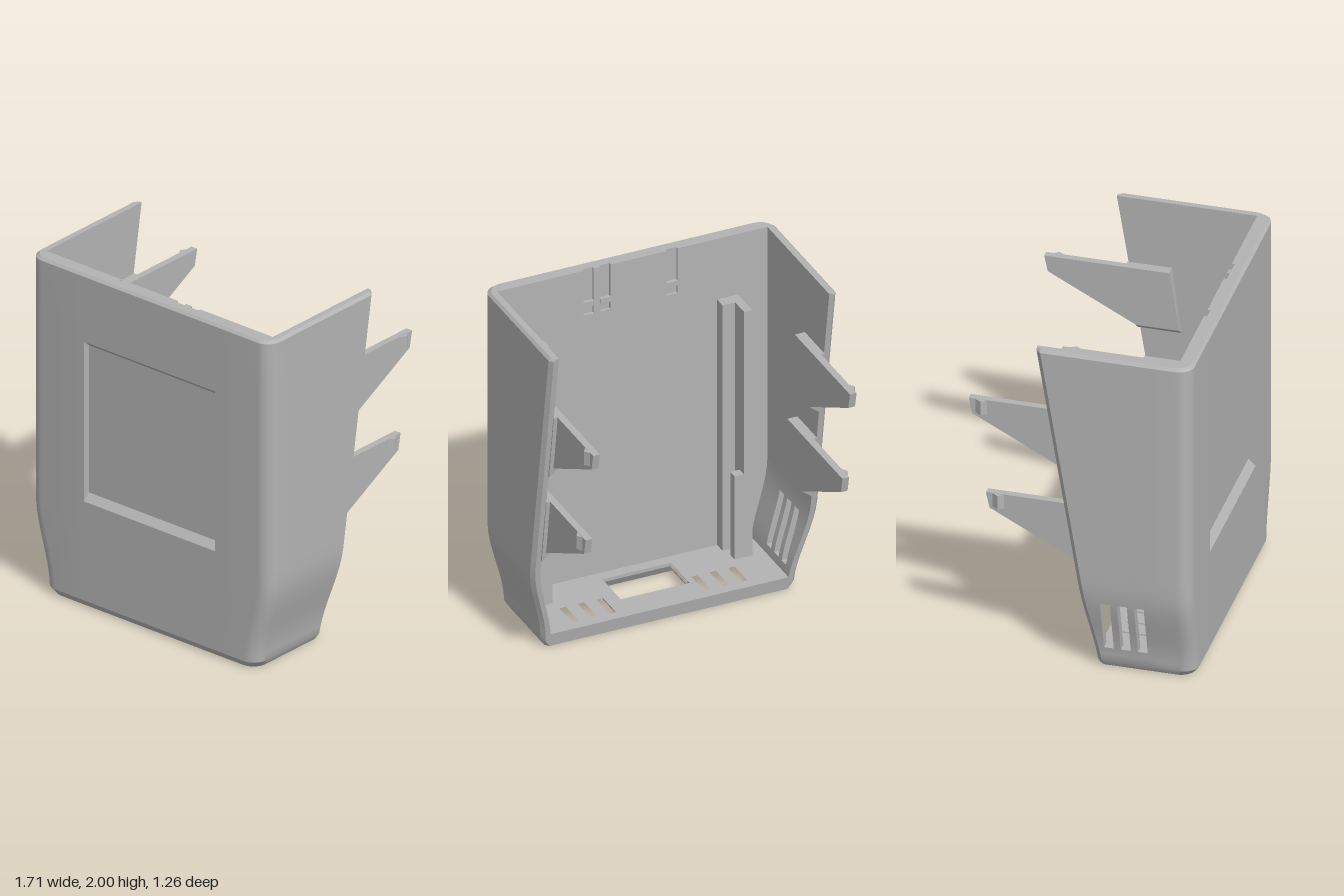
import * as THREE from 'three';
import { toCreasedNormals } from 'three/addons/utils/BufferGeometryUtils.js';

const plastic = new THREE.MeshStandardMaterial({ color: 0xb3b3b3 });
plastic.name = 'grey plastic';

const WALL = 0.05, INNER_FRONT = 0.545, FLOOR = 0.08;
const backZ = (y) => 0.085 - 0.1625 * y;
const baseWidth = (y) => 0.755 + 0.1 * THREE.MathUtils.smoothstep(y, 0.02, 0.56);
// inset of the chamfers along the bottom and top edges
const inset = (y) => 0.025 * Math.max(0, 1 - y / 0.04) + 0.015 * Math.max(0, (y - 1.985) / 0.015);
// depth of the sunken front panel, with sloping top and bottom
const panelDepth = (y) => 0.04 * THREE.MathUtils.clamp(Math.min((y - 0.635) / 0.04, (1.595 - y) / 0.035), 0, 1);

function mesh(name, geometry) {
  const m = new THREE.Mesh(geometry, plastic);
  m.name = name;
  return m;
}

function box(name, x0, x1, y0, y1, z0, z1) {
  const m = mesh(name, new THREE.BoxGeometry(x1 - x0, y1 - y0, z1 - z0));
  m.position.set((x0 + x1) / 2, (y0 + y1) / 2, (z0 + z1) / 2);
  return m;
}

// collects quads, leaving out triangles without area
function quadBuilder() {
  const pos = [];
  const tri = (...p) => {
    const [a, b, c] = p.map((v) => new THREE.Vector3(...v));
    if (b.clone().sub(a).cross(c.clone().sub(a)).length() > 1e-9) pos.push(...p.flat());
  };
  return {
    quad(a, b, c, d) { tri(a, b, c); tri(a, c, d); },
    build(angle) {
      const g = new THREE.BufferGeometry();
      g.setAttribute('position', new THREE.Float32BufferAttribute(pos, 3));
      g.computeVertexNormals();
      return toCreasedNormals(g, angle);
    },
  };
}

// columns of the U-shaped wall, from the left back edge round the front to the right one
function wallColumns() {
  const side = (s) => {
    const cols = [
      { o: (y) => [s * (baseWidth(y) - inset(y) - 0.02), backZ(y)], i: (y) => [s * (baseWidth(y) - WALL), backZ(y)] },
      { o: (y) => [s * (baseWidth(y) - inset(y)), backZ(y) + 0.025], i: (y) => [s * (baseWidth(y) - WALL), backZ(y) + 0.025] },
    ];
    for (const z of [0.12, 0.175, 0.215, 0.27, 0.31, 0.365])
      cols.push({ z, o: (y) => [s * (baseWidth(y) - inset(y)), z], i: (y) => [s * (baseWidth(y) - WALL), z] });
    const r = 0.085;
    for (let k = 0; k <= 8; k++) {
      const a = (k / 8) * Math.PI / 2;
      cols.push({
        o: (y) => [s * (baseWidth(y) - inset(y) - r + r * Math.cos(a)), 0.63 - inset(y) - r + r * Math.sin(a)],
        i: (y) => [s * (baseWidth(y) - WALL), INNER_FRONT],
      });
    }
    return cols;
  };
  const front = (x, panel, groove) => ({
    o: (y) => [x, 0.63 - inset(y) - (panel ? panelDepth(y) : 0)],
    i: (y) => [x, INNER_FRONT + (groove && y > 1.72 ? 0.017 : 0)],
  });
  const middle = [front(0.465, false), front(0.465, true)];
  for (const [a, b] of [[0.29, 0.23], [0.19, 0.13], [-0.205, -0.27]])
    middle.push(front(a, true), front(a, true, true), front(b, true, true), front(b, true));
  middle.push(front(-0.465, true), front(-0.465, false));
  return [...side(1), ...middle, ...side(-1).reverse()];
}

// curved wall with vents, front panel and grooves
function shellGeometry(cols) {
  const rows = [0, 0.04, 0.085, 0.13, 0.17, 0.21, 0.25, 0.29, 0.33, 0.37, 0.41, 0.45, 0.5, 0.56,
    0.635, 0.675, 1.56, 1.595, 1.72, 1.7201, 1.985, 2];
  const O = (i, j) => { const [x, z] = cols[j].o(rows[i]); return [x, rows[i], z]; };
  const I = (i, j) => { const [x, z] = cols[j].i(rows[i]); return [x, rows[i], z]; };
  const ventEnds = [0.175, 0.27, 0.365];
  const solid = (i, j) => {
    if (i < 0 || j < 0 || i >= rows.length - 1 || j >= cols.length - 1) return false;
    const vent = j > cols.length / 2 && ventEnds.includes(cols[j].z) && rows[i] >= 0.13 && rows[i] < 0.45;
    return !vent;
  };
  const q = quadBuilder();
  for (let i = 0; i < rows.length - 1; i++) {
    for (let j = 0; j < cols.length - 1; j++) {
      if (!solid(i, j)) continue;
      const n = i + 1, k = j + 1;
      q.quad(O(i, j), O(n, j), O(n, k), O(i, k));
      q.quad(I(i, k), I(n, k), I(n, j), I(i, j));
      if (!solid(i, j - 1)) q.quad(O(i, j), I(i, j), I(n, j), O(n, j));
      if (!solid(i, k)) q.quad(I(i, k), O(i, k), O(n, k), I(n, k));
      if (!solid(n, j)) q.quad(O(n, j), I(n, j), I(n, k), O(n, k));
      if (i > 0 && !solid(i - 1, j)) q.quad(O(i, k), I(i, k), I(i, j), O(i, j));
    }
  }
  return q.build(0.5);
}

// floor slab between two heights, with vents and a window that grows by some margin
function floorLayer(cols, y0, y1, grow) {
  const outline = cols.map((c) => c.o(0)).filter((p, n, all) =>
    n === 0 || Math.hypot(p[0] - all[n - 1][0], p[1] - all[n - 1][1]) > 1e-5);
  const shape = new THREE.Shape(outline.map(([x, z]) => new THREE.Vector2(x, -z)));
  const hole = (x0, x1, z0, z1) => shape.holes.push(new THREE.Path(
    [[x0, -z0], [x1, -z0], [x1, -z1], [x0, -z1]].map((p) => new THREE.Vector2(...p))));
  for (const x of [-0.515, -0.405, -0.295, 0.27, 0.38, 0.49]) hole(x, x + 0.06, 0.135, 0.345);
  hole(-0.2 - grow, 0.21 + grow, 0.245 - grow, 0.495 + grow);
  const g = new THREE.ExtrudeGeometry(shape, { depth: y1 - y0, bevelEnabled: false });
  g.rotateX(-Math.PI / 2).translate(0, y0, 0);
  const p = g.attributes.position;
  for (let n = 0; n < p.count; n++)
    if (p.getZ(n) < 0.1) p.setZ(n, p.getZ(n) - 0.1625 * p.getY(n));
  g.computeVertexNormals();
  return g;
}

// sloping frame below the floor window
function windowBevel() {
  const ring = (e, y) => [[-0.2 - e, y, 0.245 - e], [0.21 + e, y, 0.245 - e], [0.21 + e, y, 0.495 + e], [-0.2 - e, y, 0.495 + e]];
  const low = ring(0.03, 0), high = ring(0, 0.05), q = quadBuilder();
  for (let n = 0; n < 4; n++) {
    const m = (n + 1) % 4;
    q.quad(low[n], low[m], high[m], high[n]);
  }
  return q.build(0.1);
}

// side profile given as [z, y], extruded from x0 to x1
function sidePlate(points, x0, x1) {
  const shape = new THREE.Shape(points.map(([z, y]) => new THREE.Vector2(-z, y)));
  return new THREE.ExtrudeGeometry(shape, { depth: x1 - x0, bevelEnabled: false })
    .rotateY(Math.PI / 2).translate(x0, 0, 0);
}

// snap arm with its root on the wall and a catch near the tip
function snapArm() {
  const g = new THREE.Group();
  g.name = 'snapArm';
  g.add(mesh('armPlate', sidePlate([[-0.63, 1.595], [-0.61, 1.5], [-0.115, 1.24], [-0.17, 1.595]], 0.745, 0.785)));
  const root = sidePlate([[-0.18, 1.595], [-0.12, 1.24], [0.125, 1.24], [0.07, 1.595]], 0.745, 0.808);
  const p = root.attributes.position;
  for (let n = 0; n < p.count; n++)
    if (p.getX(n) > 0.8 && p.getY(n) < 1.3) p.setY(n, 1.19);
  root.computeVertexNormals();
  g.add(mesh('armRoot', root));
  const wedge = new THREE.Shape([[0.78, 0.60], [0.78, 0.52], [0.807, 0.56]].map((v) => new THREE.Vector2(...v)));
  const bump = new THREE.ExtrudeGeometry(wedge, { depth: 0.085, bevelEnabled: false });
  g.add(mesh('armCatch', bump.rotateX(-Math.PI / 2).translate(0, 1.508, 0)));
  return g;
}

export function createModel() {
  const model = new THREE.Group();
  model.name = 'housing';
  const cols = wallColumns();
  model.add(mesh('shell', shellGeometry(cols)));
  model.add(mesh('floorLower', floorLayer(cols, 0, 0.05, 0.03)));
  model.add(mesh('floorUpper', floorLayer(cols, 0.05, FLOOR, 0)));
  model.add(mesh('floorWindowBevel', windowBevel()));

  // two snap arms on each side
  for (const s of [1, -1]) {
    const arms = new THREE.Group();
    arms.name = s > 0 ? 'leftArms' : 'rightArms';
    const upper = snapArm(), lower = snapArm();
    lower.position.set(0, -0.58, 0.095);
    arms.add(upper, lower);
    arms.scale.x = s;
    model.add(arms);
  }

  // board rails inside the front wall
  model.add(box('leftRail', 0.525, 0.65, 0.07, 1.62, 0.475, 0.55));
  model.add(box('leftPost', 0.56, 0.65, 0.07, 0.6, 0.365, 0.42));
  model.add(box('rightRail', -0.58, -0.505, 0.07, 1.62, 0.475, 0.55));
  model.add(box('rightRailFlange', -0.63, -0.58, 0.07, 1.62, 0.365, 0.55));
  model.add(box('rightPost', -0.58, -0.525, 0.07, 0.6, 0.365, 0.42));

  // small stops in the top grooves
  for (const x of [0.26, 0.16, -0.2375])
    model.add(box('grooveStop', x - 0.032, x + 0.032, 1.77, 1.8, 0.54, 0.57));
  return model;
}
